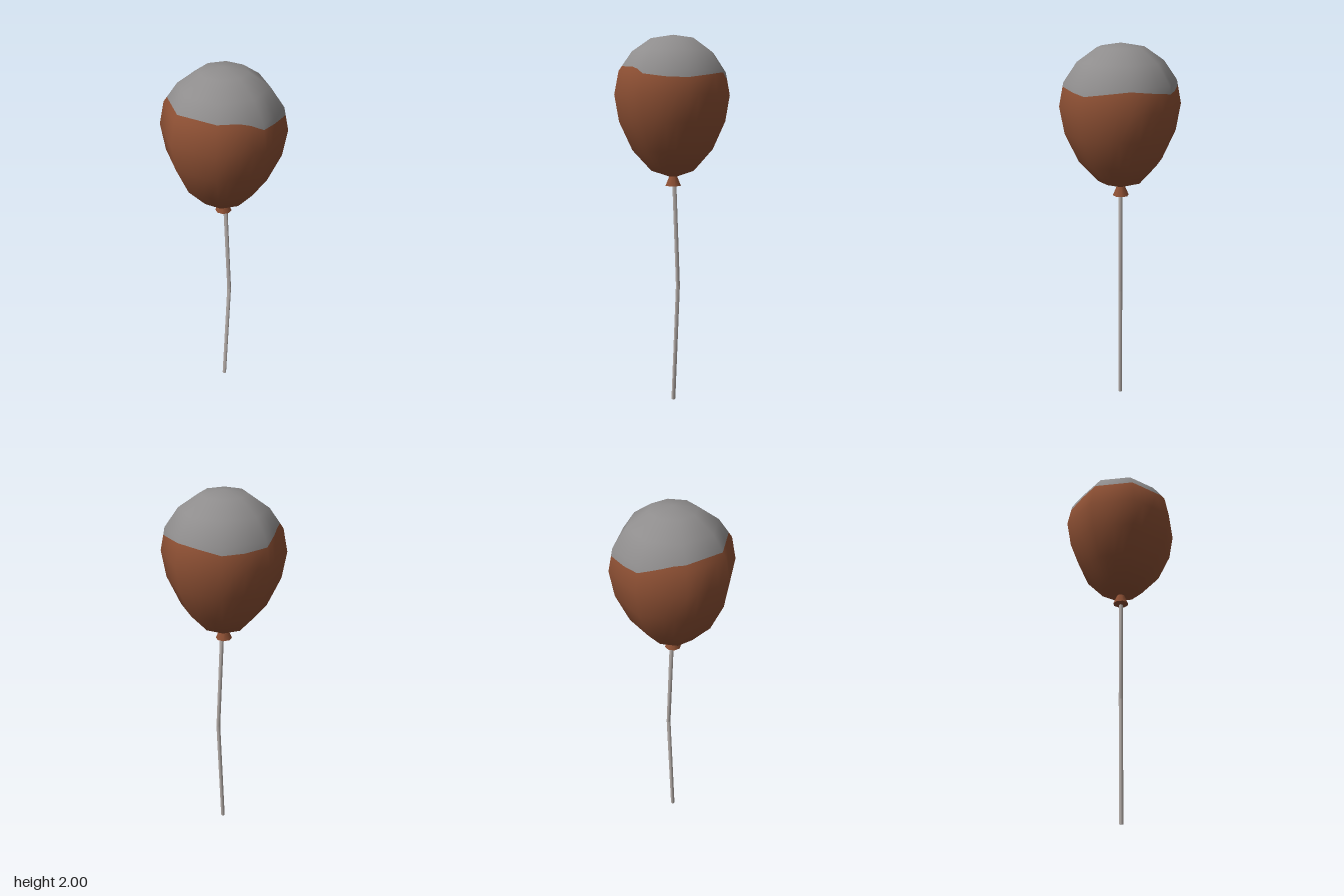
import * as THREE from 'three';

// Balloon outline, bottom to top: [radius, height]
const PROFILE = [[0, 1.25], [0.12, 1.29], [0.222, 1.40], [0.292, 1.55], [0.316, 1.69],
  [0.292, 1.81], [0.222, 1.91], [0.12, 1.98], [0, 2.0]];
const SIDES = 8, STEPS = 4;
const SHOULDER = 1.81;

// Height of the colour border, by angle in degrees from +x towards +z
const BORDER = [[0, 1.80], [22, 1.785], [45, 1.77], [68, 1.775], [90, 1.79], [101, 1.815], [112, 1.828],
  [135, 1.835], [180, 1.837], [225, 1.835], [240, 1.825], [250, 1.81], [270, 1.785],
  [292, 1.77], [315, 1.772], [338, 1.785], [360, 1.80]];

function lerpTable(table, key, value, x) {
  let i = 1;
  while (i < table.length - 1 && table[i][key] < x) i++;
  const a = table[i - 1], b = table[i];
  const t = (x - a[key]) / (b[key] - a[key]);
  return a[value] + (b[value] - a[value]) * t;
}

// Smooth outline slope at each profile point: [radial, height, up]
const SLOPES = PROFILE.map(([, y], i) => {
  if (i === 0) return [0, y, -1];
  if (i === PROFILE.length - 1) return [0, y, 1];
  const a = PROFILE[i - 1], b = PROFILE[i + 1];
  const n = new THREE.Vector2(b[1] - a[1], a[0] - b[0]).normalize();
  return [n.x, y, n.y];
});

// Eight-sided skin; rowsAt(border) gives the heights of the rows in one column
function balloonSkin(rowsAt) {
  const pos = [], nor = [], idx = [];
  const columns = SIDES * STEPS;
  let rows = 0;
  for (let c = 0; c <= columns; c++) {
    const side = Math.floor(c / STEPS), t = (c % STEPS) / STEPS;
    const a = side * Math.PI * 2 / SIDES, b = (side + 1) * Math.PI * 2 / SIDES;
    const dx = Math.cos(a) * (1 - t) + Math.cos(b) * t;
    const dz = Math.sin(a) * (1 - t) + Math.sin(b) * t;
    const len = Math.hypot(dx, dz);
    const heights = rowsAt(lerpTable(BORDER, 0, 1, c / columns * 360));
    rows = heights.length;
    for (const y of heights) {
      const r = lerpTable(PROFILE, 1, 0, y);
      const out = lerpTable(SLOPES, 1, 0, y), up = lerpTable(SLOPES, 1, 2, y);
      const n = new THREE.Vector3(dx / len * out, up, dz / len * out).normalize();
      pos.push(dx * r, y, dz * r);
      nor.push(n.x, n.y, n.z);
    }
  }
  for (let c = 0; c < columns; c++) {
    for (let j = 0; j < rows - 1; j++) {
      const p = c * rows + j, q = p + rows;
      idx.push(p, p + 1, q, q, p + 1, q + 1);
    }
  }
  const g = new THREE.BufferGeometry();
  g.setAttribute('position', new THREE.Float32BufferAttribute(pos, 3));
  g.setAttribute('normal', new THREE.Float32BufferAttribute(nor, 3));
  g.setIndex(idx);
  return g;
}

// Straight string piece between two slanted ends
function stringPiece(from, to, radius, material) {
  const g = new THREE.CylinderGeometry(radius, radius, 1, 6);
  const p = g.attributes.position;
  for (let i = 0; i < p.count; i++) {
    const end = p.getY(i) > 0 ? to : from;
    p.setXYZ(i, p.getX(i) + end.x, end.y, p.getZ(i) + end.z);
  }
  g.computeVertexNormals();
  return new THREE.Mesh(g, material);
}

export function createModel() {
  const brown = new THREE.MeshStandardMaterial({ color: 0x8c4f33 });
  brown.name = 'rust brown';
  const grey = new THREE.MeshStandardMaterial({ color: 0x8f8d8d });
  grey.name = 'grey';
  const pale = new THREE.MeshStandardMaterial({ color: 0xb8b0ac });
  pale.name = 'pale string';

  const model = new THREE.Group();
  model.name = 'balloon';
  const add = (mesh, name) => { mesh.name = name; model.add(mesh); return mesh; };
  const heights = PROFILE.map(p => p[1]);

  // Balloon: brown body below the wavy border, grey cap above it
  add(new THREE.Mesh(balloonSkin(b =>
    [...heights.slice(0, 5), Math.min(b, SHOULDER), b]), brown), 'balloonBody');
  add(new THREE.Mesh(balloonSkin(b =>
    [b, Math.max(b, SHOULDER), ...heights.slice(6)]), grey), 'balloonCap');

  // Flared knot
  add(new THREE.Mesh(new THREE.CylinderGeometry(0.022, 0.043, 0.05, 8), brown), 'knot')
    .position.y = 1.232;

  // String with one bend
  const bottom = new THREE.Vector3(0.004, 0, 0.004);
  const bend = new THREE.Vector3(0.035, 0.66, 0.008);
  const top = new THREE.Vector3(0.01, 1.215, 0.004);
  add(stringPiece(bottom, bend, 0.011, pale), 'lowerString');
  add(stringPiece(bend, top, 0.011, pale), 'upperString');
  return model;
}
